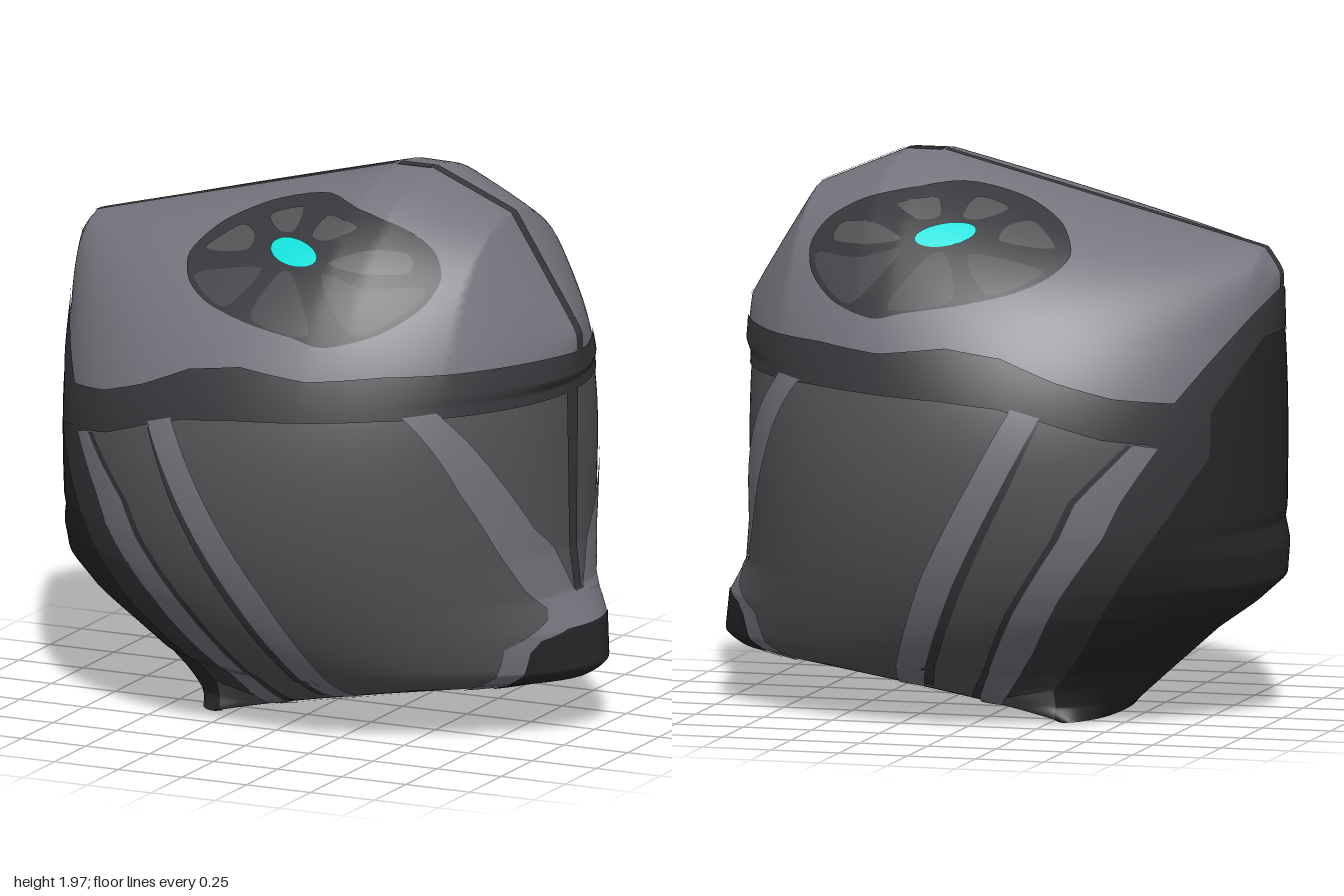
import * as THREE from 'three';

const mat = (name, color) => Object.assign(new THREE.MeshStandardMaterial({ color }), { name });

// Tail and nose outline by height, the local bulges along their ridge, the top line by x, and the foot flare
const TAIL = [[0, -0.42], [0.4, -0.865], [0.5, -0.93], [0.6, -0.965], [0.72, -0.983], [1.38, -0.985], [1.58, -1], [1.66, -0.94], [1.96, 0.24]];
const NOSE = [[0, -0.22], [0.18, 0.84], [0.24, 0.91], [0.5, 0.92], [1.25, 0.935], [1.42, 0.94], [1.83, 0.68], [1.96, 0.37]];
const TAIL_BULGE = [[0, 0], [0.3, 0], [0.4, -0.03], [0.49, -0.073], [0.62, -0.03], [0.68, 0]];
const NOSE_BULGE = [[0, 0], [0.18, 0.01], [0.2, 0.105], [0.22, 0.113], [0.38, 0.085], [0.5, 0.01], [0.65, -0.012], [1.25, -0.025], [1.28, 0], [1.96, 0]];
const CROWN = [[-1, 1.58], [-0.94, 1.66], [0.24, 1.96], [0.37, 1.96], [0.68, 1.83], [0.94, 1.42]];
const FLARE = [[0, 0.37], [0.05, 0.385], [0.12, 0.455], [0.2, 0.558]];
const TOP = 1.96, MID = 0.96, DEPTH = 0.875;

function lookup(table, k) {
  let i = 1;
  while (i < table.length - 1 && table[i][0] < k) i++;
  const [a, b] = [table[i - 1], table[i]];
  const t = THREE.MathUtils.clamp((k - a[0]) / (b[0] - a[0]), 0, 1);
  return a[1] + (b[1] - a[1]) * t;
}

// Point of the shell at angle a and height y: level ellipses below, upright ellipses under the top line above
function point(a, y) {
  const l = lookup(TAIL, y), r = lookup(NOSE, y), cos = Math.cos(a), sin = Math.sin(a);
  const x = (l + r) / 2 + cos * (r - l) / 2;
  let z;
  if (y < 0.2) z = lookup(FLARE, y) * sin;
  else if (y < MID) z = DEPTH * Math.sqrt(1 - (y - MID) ** 2) * sin;
  else {
    const l2 = lookup(TAIL, Math.min(y, 1.58)), r2 = lookup(NOSE, Math.min(y, 1.42));
    const u = (2 * x - l2 - r2) / (r2 - l2), v = (y - MID) / (lookup(CROWN, x) - MID);
    z = Math.sign(sin) * DEPTH * Math.sqrt(Math.max(0, 1 - u * u) * Math.max(0, 1 - v * v));
  }
  return new THREE.Vector3(x + lookup(cos > 0 ? NOSE_BULGE : TAIL_BULGE, y) * cos ** 8, y, z);
}

function normal(a, y) {
  const yc = THREE.MathUtils.clamp(y, 0.006, TOP - 0.008), e = 0.005, f = 0.02;
  const da = point(a + f, yc).sub(point(a - f, yc));
  const dy = point(a, yc + e).sub(point(a, yc - e));
  return dy.cross(da).normalize();
}

// Angle on the shell from a side position (x), or from a nose or tail position (z)
function solve(from, to, test) {
  for (let i = 0; i < 26; i++) {
    const m = (from + to) / 2;
    if (test(m)) from = m; else to = m;
  }
  return (from + to) / 2;
}
const bySide = ([x, y]) => [solve(0, Math.PI, (a) => point(a, y).x > x), y];
const byNose = ([z, y]) => [Math.sign(z) * solve(0, Math.PI / 2, (a) => point(a, y).z < Math.abs(z)), y];
const byTail = ([z, y]) => [Math.PI - Math.sign(z) * solve(0, Math.PI / 2, (a) => point(Math.PI - a, y).z < Math.abs(z)), y];

// Geometry from a grid of [angle, y], lifted off the shell, all faces outward
function surface(rows, lift, pick = () => 0) {
  const pos = [], nor = [], lists = [[], []], m = rows[0].length;
  const P = [], N = [];
  rows.flat().forEach(([a, y]) => {
    const n = normal(a, y), p = point(a, y).addScaledVector(n, lift);
    P.push(p); N.push(n); pos.push(p.x, p.y, p.z); nor.push(n.x, n.y, n.z);
  });
  const e1 = new THREE.Vector3(), e2 = new THREE.Vector3();
  const tri = (i, j, k, list) => {
    e1.subVectors(P[j], P[i]); e2.subVectors(P[k], P[i]); e1.cross(e2);
    if (e1.dot(N[i]) + e1.dot(N[j]) + e1.dot(N[k]) < 0) list.push(i, k, j); else list.push(i, j, k);
  };
  for (let r = 0; r < rows.length - 1; r++) for (let q = 0; q < m - 1; q++) {
    const i = r * m + q, list = lists[pick(P[i], P[i + m + 1])];
    tri(i, i + 1, i + m, list);
    tri(i + 1, i + m + 1, i + m, list);
  }
  const g = new THREE.BufferGeometry();
  g.setAttribute('position', new THREE.Float32BufferAttribute(pos, 3));
  g.setAttribute('normal', new THREE.Float32BufferAttribute(nor, 3));
  g.setIndex(lists.flat());
  g.addGroup(0, lists[0].length, 0);
  g.addGroup(lists[0].length, lists[1].length, 1);
  return g;
}

function along(pts, t) {
  const f = t * (pts.length - 1), i = Math.min(Math.floor(f), Math.max(0, pts.length - 2));
  const a = pts[i], b = pts[Math.min(i + 1, pts.length - 1)];
  return [a[0] + (b[0] - a[0]) * (f - i), a[1] + (b[1] - a[1]) * (f - i)];
}

// Painted strip between two edge lines
function ribbon(A, B, map, lift, n = 64, m = 12, mapB = map, sign = 1) {
  const rows = [];
  for (let i = 0; i <= n; i++) {
    const a = map(along(A, i / n)), b = mapB(along(B, i / n)), row = [];
    for (let j = 0; j <= m; j++) {
      const t = j / m;
      row.push([sign * (a[0] + (b[0] - a[0]) * t), a[1] + (b[1] - a[1]) * t]);
    }
    rows.push(row);
  }
  return surface(rows, lift);
}

function loop(pts, n) {
  const curve = new THREE.CatmullRomCurve3(pts.map(([x, y]) => new THREE.Vector3(x, y, 0)), true, 'catmullrom', 0.4);
  return curve.getPoints(n).map((p) => [p.x, p.y]);
}

export function createModel() {
  const light = mat('light grey', 0x74757d), panel = mat('panel grey', 0x545457);
  const dark = mat('dark grey', 0x38373b), black = mat('near black', 0x272629);
  const glass = mat('window grey', 0x48484c), cyan = mat('cyan', 0x12e0da);
  const model = new THREE.Group();
  const add = (name, geometry, material) => {
    const mesh = new THREE.Mesh(geometry, material);
    mesh.name = name;
    model.add(mesh);
    return mesh;
  };
  const both = (name, material, A, B, lift, n, m) => [1, -1].forEach((s) =>
    add(name + (s > 0 ? 'Front' : 'Back'), ribbon(A, B, bySide, lift, n, m, bySide, s), material));
  const patch = (name, material, pts, lift, n, m) => {
    const mid = pts.reduce((s, p) => [s[0] + p[0] / pts.length, s[1] + p[1] / pts.length], [0, 0]);
    both(name, material, [mid], loop(pts, n), lift, n, m);
  };

  // Shell: light upper part and grey lower part, the seam lies under the band
  const seam = [[-1, 1.46], [-0.79, 1.16], [-0.65, 1.12], [-0.39, 1.21], [-0.1, 1.28], [0.25, 1.27], [1, 1.28]];
  const ys = [...TAIL, ...NOSE, ...NOSE_BULGE].map((p) => p[0]).concat(TOP - 0.002, TOP - 0.006, TOP - 0.012);
  for (let i = 0; i < 98; i++) ys.push(i * 0.02);
  ys.sort((a, b) => a - b);
  const rings = ys.filter((y, i) => i === 0 || y - ys[i - 1] > 1e-4)
    .map((y) => Array.from({ length: 161 }, (_, i) => [(i / 160) * Math.PI * 2, y]));
  add('shell', surface(rings, 0, (p, q) => ((p.y + q.y) / 2 > lookup(seam, (p.x + q.x) / 2) ? 0 : 1)), [light, panel]);

  // Flat foot
  const foot = add('foot', new THREE.CircleGeometry(1, 64), dark);
  foot.rotation.x = Math.PI / 2;
  foot.scale.set(0.1, 0.37, 1);
  foot.position.x = -0.32;

  // Dark band around the shell with its rising branch at the tail
  both('band', dark,
    [[-0.78, 1.17], [-0.58, 1.2], [-0.39, 1.26], [-0.2, 1.34], [0, 1.37], [0.25, 1.34], [0.49, 1.36], [0.75, 1.36], [0.99, 1.36]],
    [[-0.72, 1.03], [-0.55, 1.06], [-0.35, 1.13], [-0.2, 1.17], [0, 1.19], [0.25, 1.2], [0.49, 1.21], [0.75, 1.21], [0.99, 1.21]], 0.006, 128, 10);
  both('bandBranch', dark, [[-1.02, 1.56], [-0.9, 1.38], [-0.76, 1.17], [-0.7, 1.04]],
    [[-1.02, 1.38], [-0.97, 1.36], [-0.86, 1.13], [-0.86, 1.0]], 0.006);

  // Tail: near-black end panel and the dark border beside it
  const tailEdge = [[-0.97, 1.4], [-0.84, 1.14], [-0.86, 0.97], [-0.74, 0.76], [-0.58, 0.52], [-0.42, 0.28], [-0.28, 0.12], [-0.28, 0]];
  const wrap = (p) => { const [a, y] = bySide(p); return [2 * Math.PI - a, y]; };
  add('tailPanel', ribbon(tailEdge, tailEdge, bySide, 0.003, 128, 40, wrap), black);
  both('tailBorder', dark, tailEdge.slice(1, 7),
    [[-0.7, 1.04], [-0.61, 0.84], [-0.54, 0.71], [-0.38, 0.49], [-0.25, 0.28], [-0.08, 0.08]], 0.0045);

  // Light ribs down the sides, each with a dark groove
  both('rearRibGroove', dark, [[-0.66, 1.03], [-0.48, 0.84], [-0.42, 0.71], [-0.24, 0.44], [-0.11, 0.22], [-0.02, 0.08]],
    [[-0.63, 1.04], [-0.445, 0.84], [-0.385, 0.71], [-0.205, 0.44], [-0.08, 0.22], [0.02, 0.08]], 0.004, 64, 3);
  both('rearRib', light, [[-0.72, 1.02], [-0.61, 0.84], [-0.55, 0.71], [-0.39, 0.49], [-0.26, 0.28], [-0.09, 0.06]],
    [[-0.65, 1.04], [-0.47, 0.84], [-0.41, 0.71], [-0.23, 0.44], [-0.1, 0.22], [0, 0.06]], 0.007);
  both('middleRibGroove', dark, [[-0.35, 1.12], [-0.24, 0.87], [-0.06, 0.52], [0.14, 0.13]],
    [[-0.33, 1.13], [-0.2, 0.87], [-0.01, 0.52], [0.19, 0.13]], 0.004, 64, 3);
  both('middleRib', light, [[-0.35, 1.14], [-0.21, 0.87], [-0.02, 0.52], [0.18, 0.12]],
    [[-0.25, 1.17], [-0.1, 0.89], [0.09, 0.55], [0.28, 0.13]], 0.007);

  // Nose: two light ribs meeting in a V, centre strip, trim and underside
  const flip = (pts) => pts.map(([z, y]) => [-z, y]);
  const ribOut = [[0.66, 1.22], [0.53, 0.93], [0.4, 0.71], [0.29, 0.55], [0.2, 0.46]];
  const ribIn = [[0.58, 1.23], [0.4, 0.97], [0.24, 0.76], [0.13, 0.67], [0.02, 0.48]];
  add('noseStrip', ribbon([[-0.045, 1.25], [-0.025, 0.48]], [[0.045, 1.25], [0.025, 0.48]], byNose, 0.004, 64, 6), dark);
  add('noseRibFront', ribbon(ribOut, ribIn, byNose, 0.007), light);
  add('noseRibBack', ribbon(flip(ribOut), flip(ribIn), byNose, 0.007), light);
  const trim = [[0.32, 0.03], [0.35, 0.1], [0.35, 0.2], [0.355, 0.34], [0.21, 0.43], [0.2, 0.49]];
  add('undersideTrim', ribbon(trim, flip(trim), byNose, 0.005, 160, 24), light);
  const under = [[0.28, 0.001], [0.285, 0.1], [0.285, 0.2], [0.28, 0.32], [0.25, 0.36], [0.15, 0.385]];
  add('underside', ribbon(under, flip(under), byNose, 0.009, 160, 24), black);

  // Thin dark ridge line over the top
  const ridge = (y0, y1) => [[[-0.022, y0], [-0.022, y1]], [[0.022, y0], [0.022, y1]]];
  add('ridgeNose', ribbon(...ridge(1.34, TOP - 0.003), byNose, 0.004, 96, 4), dark);
  add('ridgeTail', ribbon(...ridge(1.5, TOP - 0.003), byTail, 0.004, 96, 4), dark);
  const ridgeTop = add('ridgeTop', new THREE.BoxGeometry(0.13, 0.006, 0.044), dark);
  ridgeTop.position.set(0.305, TOP - 0.002, 0);

  // Round vents: dark disc, windows between the spokes, bright hub
  patch('ventDisc', dark, [[-0.36, 1.67], [-0.29, 1.76], [-0.13, 1.835], [0.11, 1.885], [0.38, 1.84], [0.54, 1.76], [0.6, 1.67], [0.57, 1.58],
    [0.46, 1.5], [0.29, 1.455], [0.17, 1.48], [-0.02, 1.51], [-0.2, 1.55], [-0.31, 1.6]], 0.004, 72, 16);
  [
    [[-0.3, 1.69], [-0.2, 1.765], [-0.12, 1.755], [-0.11, 1.715], [-0.2, 1.695]],
    [[-0.1, 1.805], [0.02, 1.84], [0.04, 1.785], [-0.02, 1.775]],
    [[0.12, 1.785], [0.15, 1.84], [0.28, 1.82], [0.19, 1.775]],
    [[0.23, 1.715], [0.36, 1.76], [0.48, 1.745], [0.5, 1.69], [0.36, 1.69]],
  ].forEach((w, i) => patch('upperWindow' + (i + 1), panel, w, 0.007, 24, 5));
  [
    [[0.22, 1.68], [0.38, 1.645], [0.57, 1.64], [0.49, 1.54], [0.37, 1.5]],
    [[0.06, 1.67], [0.13, 1.65], [0.23, 1.49], [0, 1.525]],
    [[-0.02, 1.67], [-0.2, 1.645], [-0.29, 1.61], [-0.12, 1.545]],
  ].forEach((w, i) => patch('lowerWindow' + (i + 1), glass, w, 0.007, 24, 5));
  const hub = Array.from({ length: 16 }, (_, i) => {
    const a = (i / 16) * Math.PI * 2, x = 0.103 * Math.cos(a);
    return [0.08 + x, 1.728 + 0.036 * Math.sin(a) - 0.1 * x];
  });
  patch('ventHub', cyan, hub, 0.009, 32, 5);

  return model;
}
